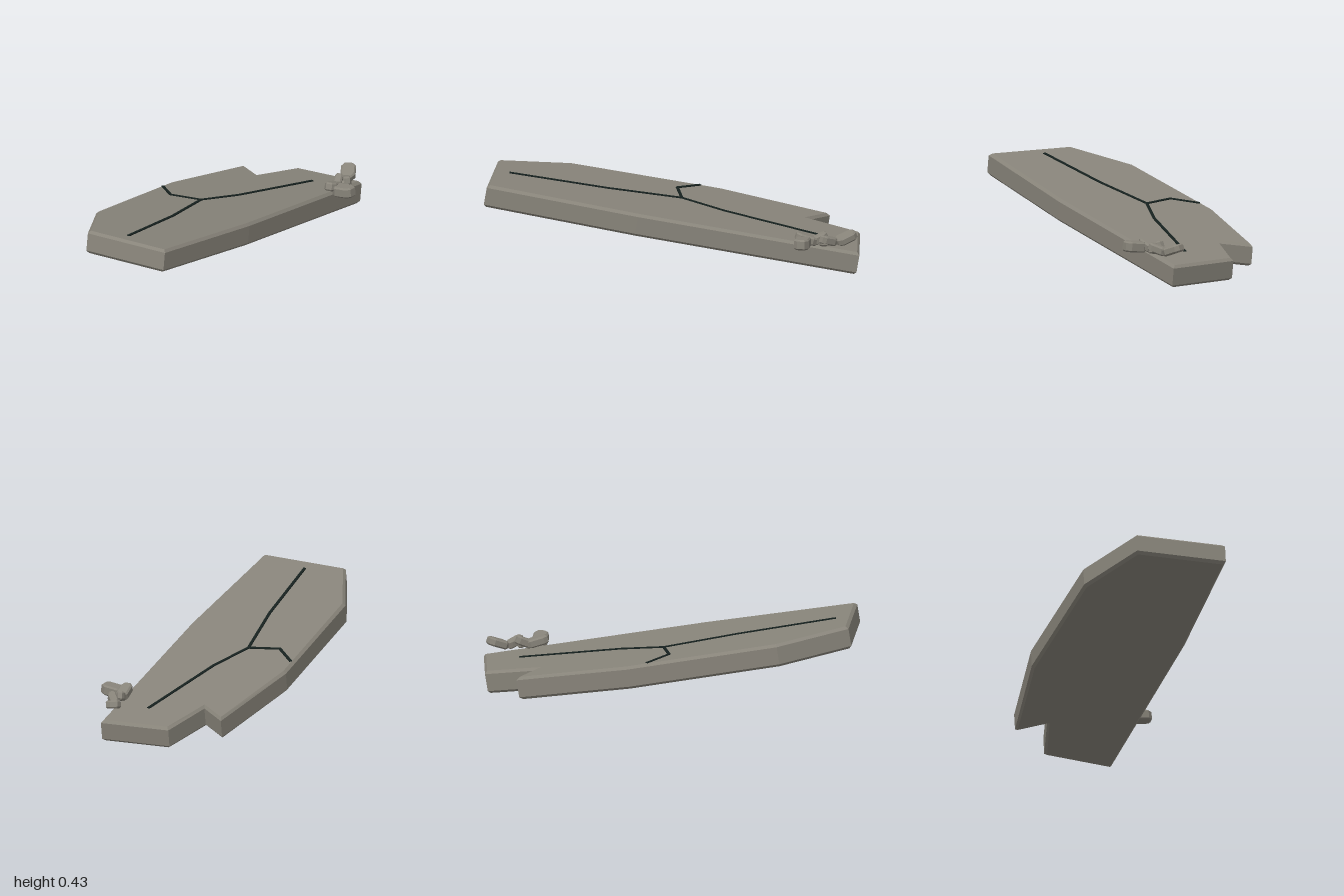
import * as THREE from 'three';

const stone = new THREE.MeshStandardMaterial({ color: 0x88847a });
stone.name = 'weathered stone';
const dark = new THREE.MeshStandardMaterial({ color: 0x16211f });
dark.name = 'crack shadow';

const THICK = 0.12;
const TILT = -0.159;
const COS = Math.cos(TILT);

// Flat plan [x, z] turned into a chamfered plate centred on its own mid height
function chamferedPlate(plan, height, bevel) {
  const shape = new THREE.Shape(plan.map(([x, z]) => new THREE.Vector2(x, z)));
  const depth = height - 2 * bevel;
  const geometry = new THREE.ExtrudeGeometry(shape, {
    depth, bevelEnabled: true, bevelSegments: 1,
    bevelSize: bevel, bevelThickness: bevel, bevelOffset: -bevel,
  });
  geometry.translate(0, 0, -depth / 2);
  geometry.rotateX(Math.PI / 2);
  return geometry;
}

// Broken slab outline
const outline = [
  [-0.985, -0.06], [-0.65, -0.28], [0.115, -0.42], [0.7, -0.405], [0.62, -0.25],
  [0.905, -0.215], [0.985, 0.15], [-0.15, 0.335], [-0.935, 0.415],
].map(([x, z]) => [x / COS, z]);

// Crack branches meeting at one point
const hub = [-0.01, -0.1];
const cracks = [
  [hub, [0.23, -0.045], [0.77, 0]],
  [hub, [-0.38, 0.015], [-0.87, 0.125]],
  [hub, [-0.07, -0.255], [0.02, -0.38]],
];

function crackSegment(a, b) {
  const [x0, x1] = [a[0], b[0]].map((x) => (x - 0.009) / COS);
  const dx = x1 - x0, dz = b[1] - a[1];
  const mesh = new THREE.Mesh(new THREE.BoxGeometry(Math.hypot(dx, dz) + 0.008, 0.006, 0.015), dark);
  mesh.position.set((x0 + x1) / 2, THICK / 2 + 0.002, (a[1] + b[1]) / 2);
  mesh.rotation.y = -Math.atan2(dz, dx);
  mesh.name = 'crack';
  return mesh;
}

// Irregular eight-sided chip of stone
function chip(length, width, height) {
  const x = length / 2, z = width / 2;
  const plan = [
    [-x, -z * 0.5], [-x * 0.65, -z], [x * 0.55, -z * 0.92], [x, -z * 0.45],
    [x * 0.95, z * 0.55], [x * 0.6, z], [-x * 0.55, z * 0.95], [-x * 0.95, z * 0.5],
  ];
  return chamferedPlate(plan, height, 0.008);
}

// size, position, turn about y, then tilt about z
const chips = [
  { size: [0.12, 0.08, 0.055], at: [0.715, 0.188, 0.26], turn: -1.45, tilt: 0.1 },
  { size: [0.12, 0.065, 0.045], at: [0.72, 0.193, 0.187], turn: 0.25, tilt: -0.3 },
  { size: [0.09, 0.045, 0.045], at: [0.785, 0.193, 0.165], turn: 0.5, tilt: 0.4 },
  { size: [0.1, 0.045, 0.045], at: [0.835, 0.187, 0.18], turn: 0.85, tilt: -0.3 },
  { size: [0.065, 0.04, 0.04], at: [0.81, 0.18, 0.19], turn: -0.9, tilt: 0.2 },
  { size: [0.115, 0.08, 0.042], at: [0.915, 0.192, 0.125], turn: 0.65, tilt: 0.35 },
];

export function createModel() {
  const model = new THREE.Group();
  model.name = 'brokenSlab';

  // Leaning slab with its cracks
  const slab = new THREE.Group();
  slab.name = 'slab';
  const body = new THREE.Mesh(chamferedPlate(outline, THICK, 0.014), stone);
  body.name = 'slabBody';
  slab.add(body);
  for (const path of cracks) {
    for (let i = 1; i < path.length; i++) slab.add(crackSegment(path[i - 1], path[i]));
  }
  slab.rotation.set(-0.02, 0, TILT);
  slab.position.y = 0.217;
  model.add(slab);

  // Loose chips on the low corner
  const rubble = new THREE.Group();
  rubble.name = 'rubble';
  for (const { size, at, turn, tilt } of chips) {
    const mesh = new THREE.Mesh(chip(...size), stone);
    mesh.position.set(...at);
    mesh.rotation.set(0, turn, tilt);
    mesh.name = 'chip';
    rubble.add(mesh);
  }
  model.add(rubble);
  return model;
}
